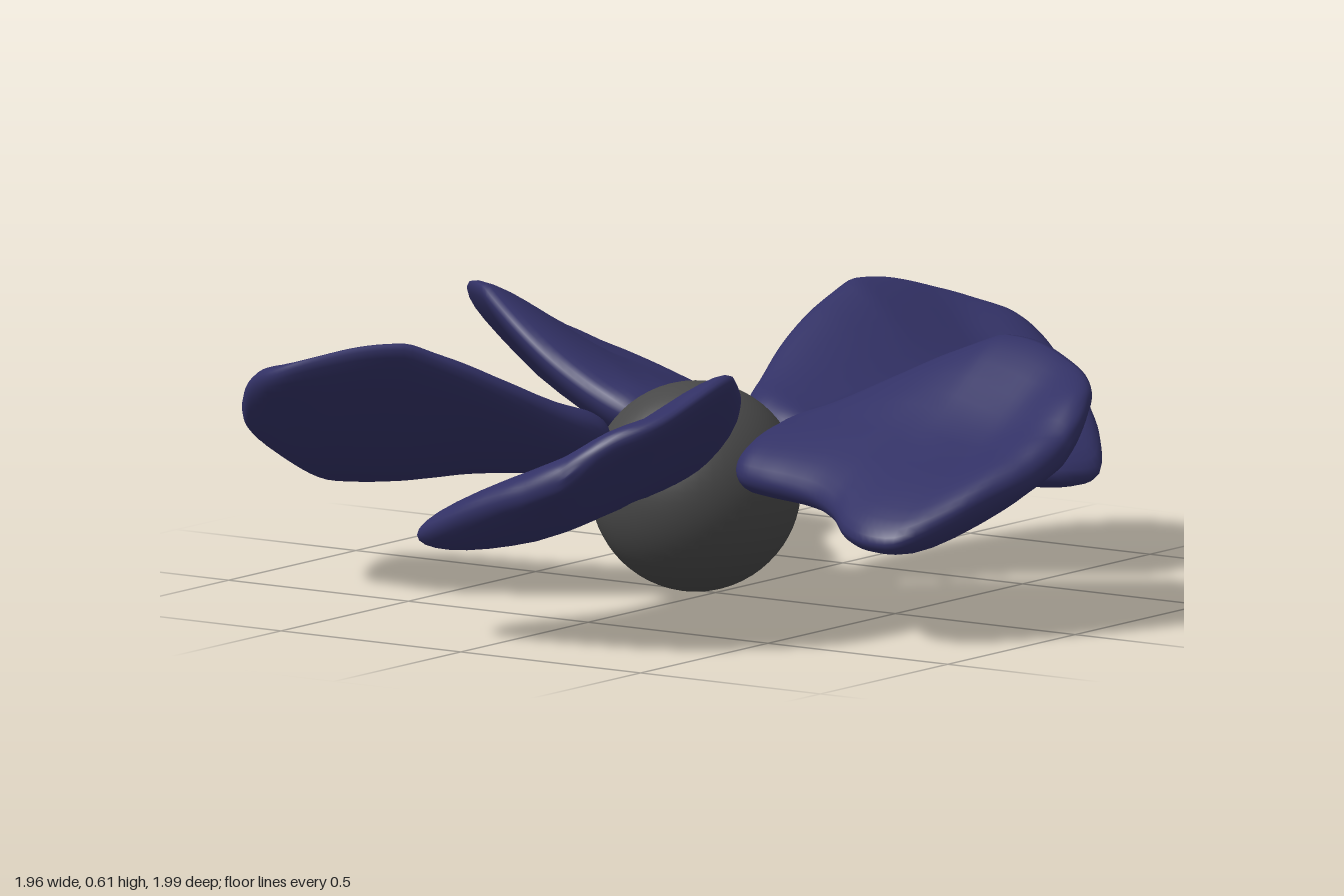
import * as THREE from 'three';

const { clamp, lerp, smoothstep } = THREE.MathUtils;
const HUB_X = -0.055, HUB_R = 0.24;

// Blade stations: radial x, leading edge z, trailing edge z, half thickness
const STATIONS = [
  [0.135, -0.05, 0.08, 0.008], [0.15, -0.09, 0.13, 0.045], [0.185, -0.125, 0.17, 0.068],
  [0.25, -0.168, 0.192, 0.075], [0.35, -0.227, 0.215, 0.08], [0.45, -0.265, 0.245, 0.083],
  [0.53, -0.283, 0.29, 0.085], [0.61, -0.294, 0.36, 0.085], [0.70, -0.288, 0.405, 0.083],
  [0.79, -0.262, 0.398, 0.077], [0.87, -0.227, 0.295, 0.067], [0.92, -0.18, 0.19, 0.055],
  [0.95, -0.125, 0.115, 0.042], [0.967, -0.08, 0.05, 0.028], [0.975, -0.03, -0.01, 0.004],
];

// Height of the blade's middle surface across its chord
const CAMBER = [[-0.3, 0.608], [-0.2, 0.522], [-0.1, 0.437], [0, 0.365], [0.1, 0.322], [0.2, 0.293], [0.3, 0.265], [0.42, 0.235]];

function camber(z) {
  let i = 0;
  while (i < CAMBER.length - 2 && z > CAMBER[i + 1][0]) i++;
  const [a, b] = [CAMBER[i], CAMBER[i + 1]];
  return lerp(a[1], b[1], (z - a[0]) / (b[0] - a[0]));
}

// Pitch grows away from the hub, and the tip flattens upwards
function middleHeight(x, z) {
  const pitch = clamp(0.5 + (x - 0.2) * 1.25, 0.4, 1);
  const base = lerp(0.335, 0.35, smoothstep(x, 0.15, 0.5));
  const lift = 0.05 * smoothstep(x, 0.76, 0.96) * smoothstep(z, -0.25, -0.08);
  return base + (camber(z) - 0.35) * pitch + lift;
}

// Loft rounded cross-sections from root to tip
function bladeGeometry() {
  const edge = (k) => new THREE.CatmullRomCurve3(STATIONS.map((s) => new THREE.Vector3(s[0], s[k], s[3])));
  const lead = edge(1), trail = edge(2);
  const rings = 60, sides = 36, pos = [], index = [];
  for (let i = 0; i <= rings; i++) {
    const p = lead.getPoint(i / rings), q = trail.getPoint(i / rings);
    const mid = (p.y + q.y) / 2, half = (q.y - p.y) / 2;
    for (let j = 0; j < sides; j++) {
      const a = (j / sides) * Math.PI * 2, s = Math.sin(a);
      const z = mid + half * Math.cos(a);
      const y = middleHeight(p.x, z) + p.z * s;
      pos.push(p.x - HUB_X, y, z);
      if (i < rings) {
        const k = (j + 1) % sides, b = i * sides, c = b + sides;
        index.push(b + j, c + j, b + k, c + j, c + k, b + k);
      }
    }
  }
  // Close the root and the tip
  const last = rings * sides;
  for (let j = 1; j < sides - 1; j++) {
    index.push(0, j, j + 1, last, last + j + 1, last + j);
  }
  const g = new THREE.BufferGeometry();
  g.setAttribute('position', new THREE.Float32BufferAttribute(pos, 3));
  g.setIndex(index);
  g.computeVertexNormals();
  return g;
}

export function createModel() {
  const model = new THREE.Group();
  model.name = 'propeller';
  const bladeBlue = new THREE.MeshStandardMaterial({ color: 0x323165 });
  bladeBlue.name = 'bladeBlue';
  const hubGrey = new THREE.MeshStandardMaterial({ color: 0x484848 });
  hubGrey.name = 'hubGrey';

  // Round hub
  const hub = new THREE.Mesh(new THREE.SphereGeometry(HUB_R, 48, 32), hubGrey);
  hub.name = 'hub';
  hub.position.set(HUB_X, HUB_R, 0);
  model.add(hub);

  // Five pitched blades around the hub
  const geometry = bladeGeometry();
  for (let i = 0; i < 5; i++) {
    const blade = new THREE.Mesh(geometry, bladeBlue);
    blade.name = `blade${i + 1}`;
    blade.position.x = HUB_X;
    blade.rotation.y = (i * Math.PI * 2) / 5;
    model.add(blade);
  }
  return model;
}
